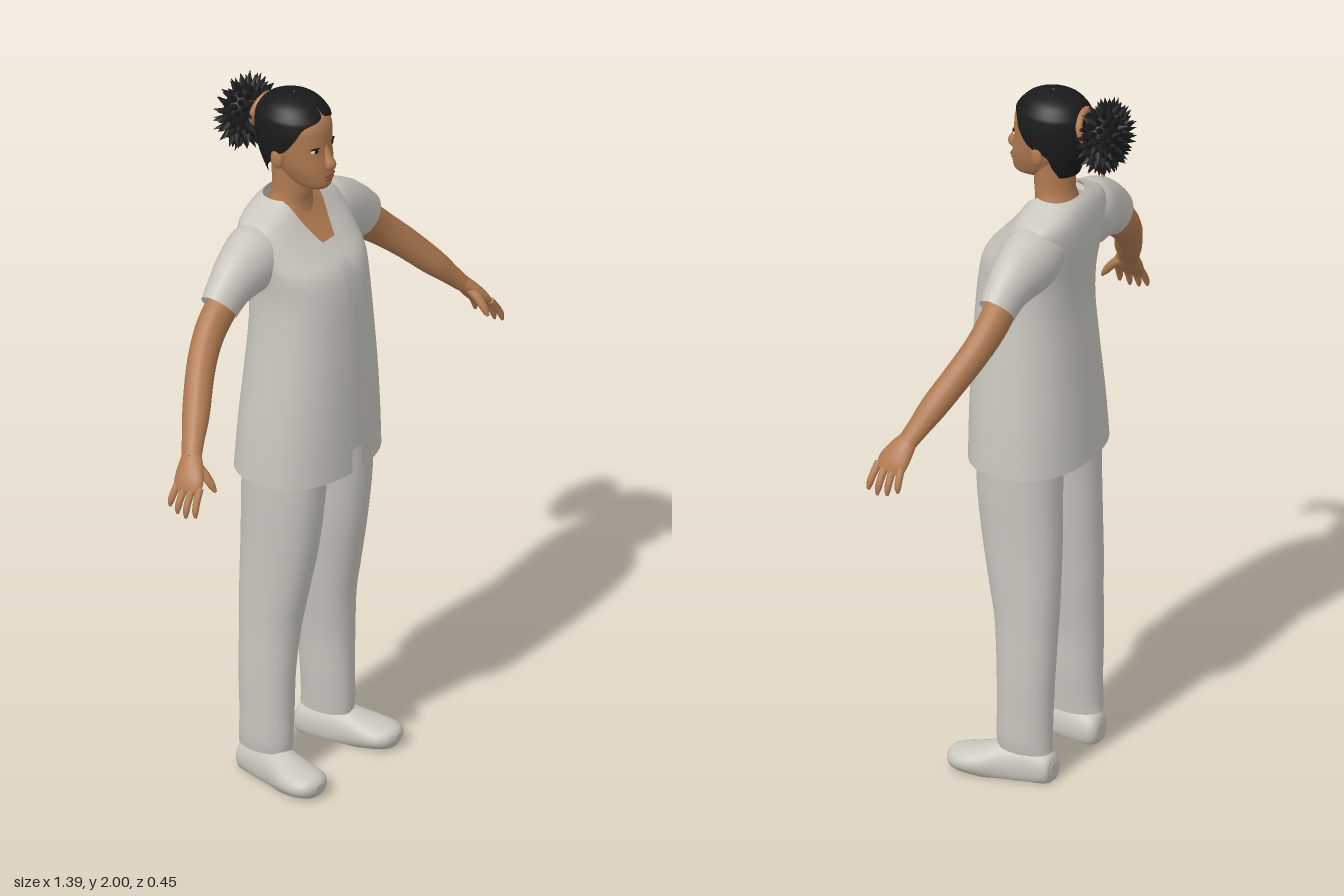
import * as THREE from 'three';

const mat = (name, color, side = THREE.FrontSide) => {
  const m = new THREE.MeshStandardMaterial({ color, side });
  m.name = name;
  return m;
};
const V = (x, y, z) => new THREE.Vector3(x, y, z);
const spow = (v, e) => Math.sign(v) * Math.pow(Math.abs(v), e);

// Smoothly resample rows of numbers (Catmull-Rom on every column)
function resample(rows, steps) {
  const out = [], last = rows.length - 1;
  for (let s = 0; s <= last * steps; s++) {
    const i = Math.min(Math.floor(s / steps), last - 1), t = s / steps - i;
    const p = [Math.max(i - 1, 0), i, i + 1, Math.min(i + 2, last)].map(k => rows[k]);
    out.push(p[1].map((_, c) => {
      const [a, b, d, e] = p.map(r => r[c]);
      return 0.5 * (2 * b + (d - a) * t + (2 * a - 5 * b + 4 * d - e) * t * t + (3 * b - a - 3 * d + e) * t ** 3);
    }));
  }
  return out;
}

// Skin a list of rings; closed rings wrap round, caps are separate flat fans
function loft(rings, closed = true, caps = true) {
  const n = rings[0].length, pos = [], idx = [];
  rings.forEach(r => r.forEach(p => pos.push(p.x, p.y, p.z)));
  for (let i = 0; i < rings.length - 1; i++)
    for (let j = 0; j < (closed ? n : n - 1); j++) {
      const a = i * n + j, b = i * n + (j + 1) % n;
      idx.push(a, b, a + n, b, b + n, a + n);
    }
  if (caps) [rings[0], rings[rings.length - 1]].forEach((r, end) => {
    const base = pos.length / 3;
    const c = r.reduce((s, p) => s.add(p), V(0, 0, 0)).divideScalar(n);
    [...r, c].forEach(p => pos.push(p.x, p.y, p.z));
    for (let j = 0; j < n; j++) {
      const a = base + j, b = base + (j + 1) % n;
      idx.push(base + n, end ? a : b, end ? b : a);
    }
  });
  const g = new THREE.BufferGeometry();
  g.setAttribute('position', new THREE.Float32BufferAttribute(pos, 3));
  g.setIndex(idx);
  g.computeVertexNormals();
  return g;
}

// Horizontal ring: half width w, front and back z, starting at angle a0 from the front
function ring(y, w, zf, zb, { cx = 0, e = 1, a0 = 0, n = 40, open = false } = {}) {
  return Array.from({ length: n }, (_, j) => {
    const a = open ? a0 + (2 * Math.PI - 2 * a0) * j / (n - 1) : 2 * Math.PI * j / n;
    return V(cx + w * spow(Math.sin(a), e), y, (zf + zb) / 2 + (zf - zb) / 2 * spow(Math.cos(a), e));
  });
}

// Tube along rows of [x, y, z, radius across, radius along ref]
function limb(rows, { ref = V(0, 0, 1), n = 18, steps = 4, caps = true } = {}) {
  const pts = resample(rows, steps);
  return loft(pts.map((p, i) => {
    const q = pts[Math.max(i - 1, 0)], r = pts[Math.min(i + 1, pts.length - 1)];
    const T = V(r[0] - q[0], r[1] - q[1], r[2] - q[2]).normalize();
    const B = ref.clone().addScaledVector(T, -ref.dot(T)).normalize();
    const N = B.clone().cross(T);
    return Array.from({ length: n }, (_, j) => {
      const a = 2 * Math.PI * j / n;
      return V(p[0], p[1], p[2]).addScaledVector(N, p[3] * Math.cos(a)).addScaledVector(B, p[4] * Math.sin(a));
    });
  }), true, caps);
}

function mirrored(geo) {
  const g = geo.clone().scale(-1, 1, 1), ix = g.index.array;
  for (let i = 0; i < ix.length; i += 3) [ix[i], ix[i + 1]] = [ix[i + 1], ix[i]];
  return g;
}

function blob(x, y, z, rx, ry, rz, turn = 0) {
  return new THREE.SphereGeometry(1, 20, 14).scale(rx, ry, rz).rotateY(turn).translate(x, y, z);
}

export function createModel() {
  const model = new THREE.Group();
  const skin = mat('skin', 0xb07a50), hair = mat('black hair', 0x1a1a1a, THREE.DoubleSide);
  const cloth = mat('grey cloth', 0xc8c5be, THREE.DoubleSide);
  const lipsMat = mat('lips', 0x8a553c), white = mat('eye white', 0xe0dcd4), dark = mat('iris', 0x1c120c);
  const add = (name, geo, m) => {
    const mesh = new THREE.Mesh(geo, m);
    mesh.name = name;
    model.add(mesh);
  };
  const pair = (name, geo, m) => {
    add(name + 'Left', geo, m);
    add(name + 'Right', mirrored(geo), m);
  };

  // Open tunic: y, half width, front z, back z, half of the front opening
  const torso = resample([
    [0.92, 0.222, 0.207, -0.12, 0.02], [1.05, 0.212, 0.207, -0.112, 0.02],
    [1.2, 0.195, 0.205, -0.1, 0.02], [1.35, 0.178, 0.198, -0.09, 0.02],
    [1.45, 0.172, 0.19, -0.095, 0.02], [1.52, 0.178, 0.172, -0.105, 0.02],
    [1.57, 0.185, 0.13, -0.11, 0.02], [1.62, 0.187, 0.087, -0.11, 0.042],
    [1.655, 0.165, 0.062, -0.105, 0.056], [1.682, 0.11, 0.047, -0.095, 0.064],
    [1.7, 0.076, 0.033, -0.078, 0.067]], 4);
  const e = 0.85;
  add('tunic', loft(torso.map(([y, w, zf, zb, gap]) => ring(y, w, zf, zb,
    { e, n: 61, open: true, a0: Math.asin(Math.pow(Math.min(gap / w, 0.97), 1 / e)) })), false, false), cloth);

  // Undershirt and the chest above it, just inside the tunic
  const inside = (lo, hi) => loft(torso.filter(r => r[0] > lo && r[0] < hi)
    .map(([y, w, zf, zb]) => ring(y, w - 0.014, zf - 0.012, zb + 0.014, { e })), true, false);
  add('undershirt', inside(0.96, 1.585), cloth);
  add('chest', inside(1.555, 1.69), skin);

  // Sleeves and arms
  pair('sleeve', limb([[0.08, 1.59, -0.02, 0.07, 0.075], [0.155, 1.565, -0.018, 0.094, 0.08],
    [0.225, 1.545, -0.015, 0.084, 0.068], [0.28, 1.518, -0.012, 0.07, 0.056],
    [0.325, 1.482, -0.01, 0.063, 0.048]], { n: 28, caps: false }), cloth);
  pair('arm', limb([[0.24, 1.53, -0.012, 0.05, 0.043], [0.34, 1.456, -0.01, 0.051, 0.041],
    [0.4, 1.405, 0.002, 0.046, 0.039], [0.46, 1.348, 0.027, 0.042, 0.038],
    [0.53, 1.272, 0.066, 0.036, 0.037], [0.575, 1.222, 0.09, 0.027, 0.031],
    [0.605, 1.188, 0.107, 0.022, 0.028]]), skin);

  // Hands: flat palm, four fingers and a thumb
  pair('palm', limb([[0.597, 1.198, 0.103, 0.02, 0.026], [0.622, 1.17, 0.116, 0.021, 0.038],
    [0.645, 1.14, 0.128, 0.018, 0.044], [0.66, 1.118, 0.134, 0.011, 0.038]]), skin);
  for (let i = 0; i < 4; i++) {
    const z = 0.099 + i * 0.023, len = [0.8, 0.95, 1, 0.9][i];
    pair('finger' + (i + 1), limb([[0.65, 1.135, z, 0.01, 0.011],
      [0.65 + 0.025 * len, 1.135 - 0.035 * len, z + (i - 1) * 0.003, 0.0095, 0.01],
      [0.65 + 0.037 * len, 1.135 - 0.06 * len, z + (i - 1) * 0.005, 0.008, 0.009],
      [0.65 + 0.04 * len, 1.135 - 0.078 * len, z + (i - 1) * 0.006, 0.003, 0.004]], { n: 10, steps: 3 }), skin);
  }
  pair('thumb', limb([[0.612, 1.178, 0.125, 0.014, 0.016], [0.611, 1.155, 0.157, 0.012, 0.014],
    [0.61, 1.13, 0.178, 0.01, 0.011], [0.609, 1.113, 0.19, 0.004, 0.004]],
  { n: 10, steps: 3, ref: V(1, 0, 0) }), skin);

  // Trousers: y, centre x, half width, front z, back z
  const leg = resample([
    [0.085, 0.137, 0.052, 0.086, -0.072], [0.12, 0.138, 0.056, 0.088, -0.07], [0.2, 0.135, 0.06, 0.088, -0.07],
    [0.32, 0.132, 0.064, 0.09, -0.074], [0.45, 0.122, 0.071, 0.1, -0.077], [0.55, 0.117, 0.077, 0.118, -0.08],
    [0.7, 0.109, 0.086, 0.145, -0.08], [0.83, 0.106, 0.093, 0.16, -0.078], [0.95, 0.101, 0.1, 0.165, -0.078]], 4);
  pair('trouserLeg', loft(leg.map(([y, cx, w, zf, zb]) => ring(y, w, zf, zb, { cx, e: 0.95, n: 32 }))), cloth);
  add('trouserSeat', loft([[0.9, 0.17, 0.12, -0.05], [0.95, 0.195, 0.165, -0.078], [1.1, 0.18, 0.16, -0.075]]
    .map(r => ring(...r, { e }))), cloth);

  // Shoes with a flat sole
  const shoe = limb([[0.125, 0.032, -0.077, 0.022, 0.022], [0.126, 0.032, -0.062, 0.05, 0.043],
    [0.135, 0.032, 0, 0.068, 0.05], [0.149, 0.032, 0.065, 0.064, 0.054],
    [0.165, 0.032, 0.13, 0.045, 0.063], [0.172, 0.032, 0.175, 0.036, 0.06],
    [0.175, 0.032, 0.203, 0.028, 0.042], [0.176, 0.031, 0.215, 0.014, 0.016]], { ref: V(1, 0, 0), n: 28 });
  const sp = shoe.attributes.position;
  for (let i = 0; i < sp.count; i++) sp.setY(i, Math.max(sp.getY(i), 0));
  shoe.computeVertexNormals();
  pair('shoe', shoe, cloth);

  // Neck and head
  add('neck', loft(resample([[1.62, 0.08, 0.06, -0.08], [1.68, 0.064, 0.045, -0.07],
    [1.72, 0.054, 0.05, -0.062], [1.8, 0.056, 0.05, -0.065]], 4).map(r => ring(...r))), skin);
  add('head', loft(resample([
    [1.738, 0.022, 0.096, 0.03], [1.75, 0.04, 0.112, 0.005], [1.775, 0.055, 0.116, -0.03],
    [1.81, 0.069, 0.114, -0.055], [1.85, 0.078, 0.107, -0.075], [1.89, 0.083, 0.106, -0.09],
    [1.93, 0.083, 0.1, -0.092], [1.965, 0.067, 0.07, -0.075], [1.985, 0.035, 0.035, -0.04]], 4)
    .map(r => ring(...r, { e: 0.93 }))), skin);
  pair('ear', blob(0.082, 1.835, 0.004, 0.011, 0.031, 0.019, -0.2), skin);
  add('nose', limb([[0, 1.872, 0.1, 0.006, 0.008], [0, 1.84, 0.111, 0.01, 0.011],
    [0, 1.817, 0.119, 0.016, 0.016], [0, 1.804, 0.112, 0.008, 0.012]], { ref: V(1, 0, 0) }), skin);
  add('upperLip', blob(0, 1.787, 0.115, 0.025, 0.006, 0.007), lipsMat);
  add('lowerLip', blob(0, 1.776, 0.114, 0.021, 0.006, 0.007), lipsMat);
  pair('eye', blob(0.035, 1.864, 0.0955, 0.015, 0.007, 0.0045, 0.25), white);
  pair('iris', blob(0.035, 1.864, 0.0985, 0.007, 0.0065, 0.003, 0.25), dark);
  pair('lashes', blob(0.036, 1.872, 0.0965, 0.017, 0.0025, 0.005, 0.25), dark);

  // Swept-back hair: y, half width, front z, back z, angle of the face opening
  add('hair', loft(resample([
    [1.765, 0.058, 0.04, -0.076, 2.1], [1.8, 0.074, 0.07, -0.09, 1.9], [1.835, 0.085, 0.09, -0.102, 1.78],
    [1.86, 0.09, 0.105, -0.108, 1.3], [1.9, 0.095, 0.11, -0.112, 1.0], [1.935, 0.092, 0.104, -0.11, 0.72],
    [1.952, 0.087, 0.095, -0.103, 0.1], [1.978, 0.066, 0.07, -0.08, 0], [1.993, 0.036, 0.036, -0.044, 0],
    [2, 0.003, 0.001, -0.005, 0]], 4)
    .map(([y, w, zf, zb, a0]) => ring(y, w, zf, zb, { a0: Math.max(a0, 0), open: true, n: 49 })), false, false), hair);

  // Hair tie and spiky bun
  add('hairTie', new THREE.TorusGeometry(0.044, 0.01, 10, 28).rotateX(0.25).translate(0, 1.915, -0.106), skin);
  const bun = V(-0.006, 1.893, -0.156);
  add('bun', blob(bun.x, bun.y, bun.z, 0.08, 0.082, 0.05), hair);
  const count = 130;
  for (let i = 0; i < count; i++) {
    const h = 1 - 2 * (i + 0.5) / count, a = i * 2.39996, s = Math.sqrt(1 - h * h);
    const d = V(s * Math.cos(a), h, s * Math.sin(a));
    const len = 0.028 + 0.014 * Math.abs(Math.sin(i * 7.3));
    const cone = new THREE.ConeGeometry(0.013, len, 5).translate(0, len * 0.3, 0);
    const lean = d.clone().add(V(0.25 * Math.sin(i * 3.1), 0.25 * Math.cos(i * 5.7), 0)).normalize();
    cone.applyQuaternion(new THREE.Quaternion().setFromUnitVectors(V(0, 1, 0), lean));
    cone.translate(bun.x + d.x * 0.08, bun.y + d.y * 0.08, bun.z + d.z * 0.045);
    add('bunSpike' + (i + 1), cone, hair);
  }
  return model;
}
